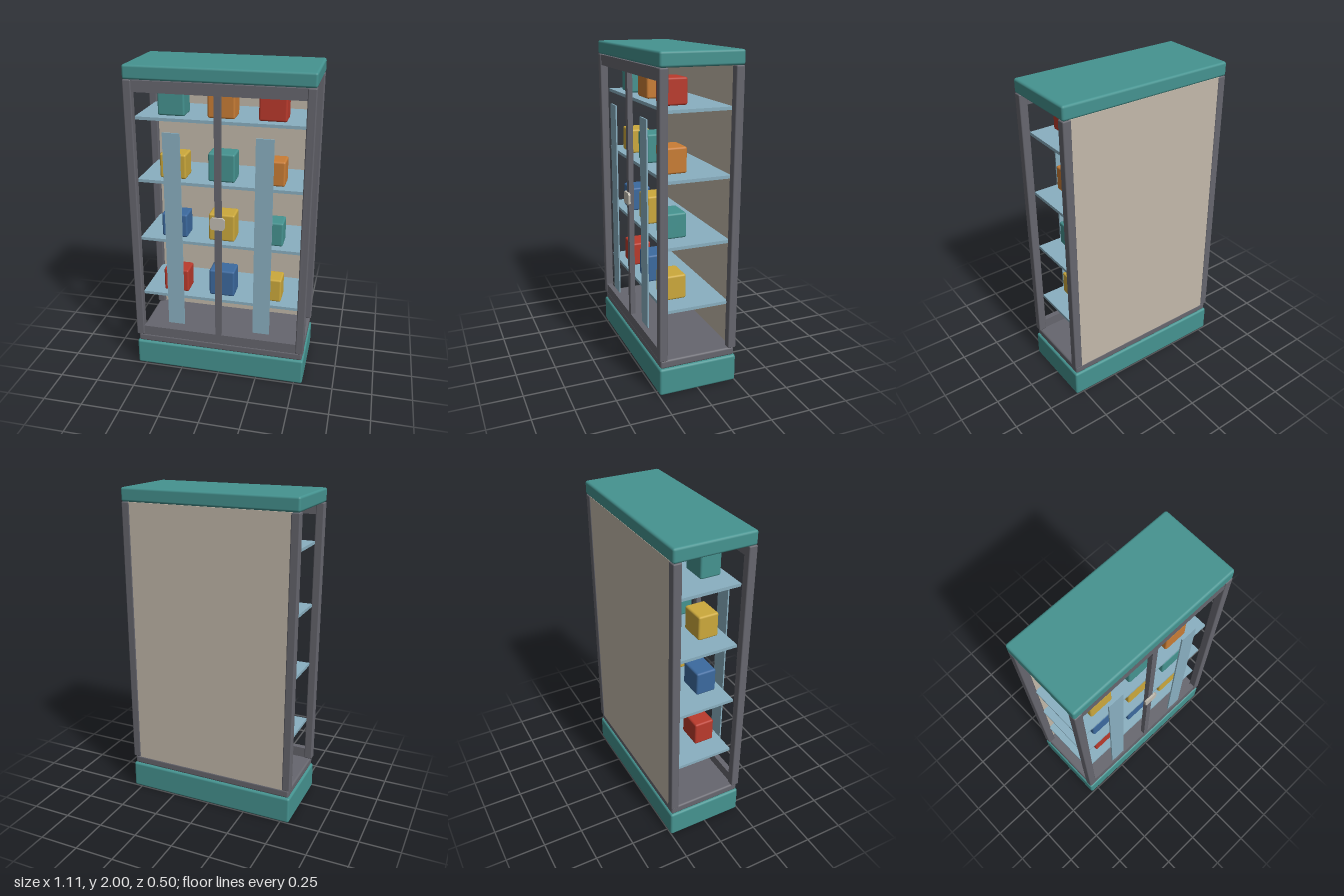
import * as THREE from 'three';
import { RoundedBoxGeometry } from 'three/addons/geometries/RoundedBoxGeometry.js';

const material = (name, color) => {
  const m = new THREE.MeshStandardMaterial({ color });
  m.name = name;
  return m;
};

export function createModel() {
  const cabinet = new THREE.Group();
  cabinet.name = 'displayCabinet';

  const teal = material('teal', 0x459390);
  const grey = material('darkGrey', 0x66666e);
  const beige = material('beige', 0xc3b9aa);
  const glass = material('paleBlue', 0x8ab0c1);
  const metal = material('lightMetal', 0xc2bdb2);
  const red = material('red', 0xba3a2c);
  const blue = material('blue', 0x3c6a9f);
  const yellow = material('yellow', 0xcca93c);
  const orange = material('orange', 0xc97d35);

  // Box given by its limits on each axis, with an optional rounded edge
  const box = (name, mat, [x0, x1], [y0, y1], [z0, z1], radius = 0) => {
    const size = [x1 - x0, y1 - y0, z1 - z0];
    const geometry = radius
      ? new RoundedBoxGeometry(...size, 2, radius)
      : new THREE.BoxGeometry(...size);
    const mesh = new THREE.Mesh(geometry, mat);
    mesh.name = name;
    mesh.position.set((x0 + x1) / 2, (y0 + y1) / 2, (z0 + z1) / 2);
    cabinet.add(mesh);
  };

  // Base, plinth and cap
  box('base', teal, [-0.555, 0.555], [0, 0.172], [-0.252, 0.245], 0.014);
  box('plinth', grey, [-0.545, 0.545], [0.172, 0.224], [-0.243, 0.237], 0.012);
  box('cap', teal, [-0.555, 0.555], [1.916, 2], [-0.252, 0.245], 0.014);

  // Corner posts
  for (const [side, x] of [['right', -0.5285], ['left', 0.5285]]) {
    for (const [end, z] of [['Front', 0.2205], ['Back', -0.2245]]) {
      box(side + end + 'Post', grey, [x - 0.0255, x + 0.0255], [0.224, 1.916], [z - 0.0255, z + 0.0255], 0.007);
    }
  }

  // Back panel and front door frame
  box('backPanel', beige, [-0.51, 0.51], [0.224, 1.916], [-0.246, -0.226]);
  box('bottomRail', grey, [-0.505, 0.505], [0.224, 0.29], [0.205, 0.24]);
  box('topRail', grey, [-0.505, 0.505], [1.846, 1.913], [0.205, 0.24]);
  box('centreBar', grey, [-0.019, 0.019], [0.29, 1.846], [0.208, 0.24]);

  // Door glass strips
  for (const [name, x] of [['rightGlassStrip', -0.277], ['leftGlassStrip', 0.277]]) {
    box(name, glass, [x - 0.053, x + 0.053], [0.34, 1.618], [0.229, 0.238]);
  }

  // Lock plate with clipped corners
  const w = 0.045, h = 0.039, c = 0.012;
  const outline = [
    [-w, -h + c], [-w + c, -h], [w - c, -h], [w, -h + c],
    [w, h - c], [w - c, h], [-w + c, h], [-w, h - c],
  ].map(([x, y]) => new THREE.Vector2(x, y));
  const lock = new THREE.Mesh(
    new THREE.ExtrudeGeometry(new THREE.Shape(outline), { depth: 0.014, bevelEnabled: false }), metal);
  lock.name = 'lockPlate';
  lock.position.set(0, 1.076, 0.238);
  cabinet.add(lock);

  // Shelves, each with three boxes; colours shift by one on every shelf
  const colours = [red, blue, yellow, teal, orange, red];
  for (let row = 0; row < 4; row++) {
    const top = 0.524 + row * 0.389;
    box('shelf' + (row + 1), glass, [-0.511, 0.511], [top - 0.019, top], [-0.207, 0.187]);
    for (let column = 0; column < 3; column++) {
      const x = (column - 1) * 0.302;
      const height = column === 1 ? 0.177 : 0.154;
      box(`shelf${row + 1}Box${column + 1}`, colours[row + column],
        [x - 0.082, x + 0.082], [top + 0.002, top + 0.002 + height], [0.01, 0.14], 0.012);
    }
  }

  return cabinet;
}
